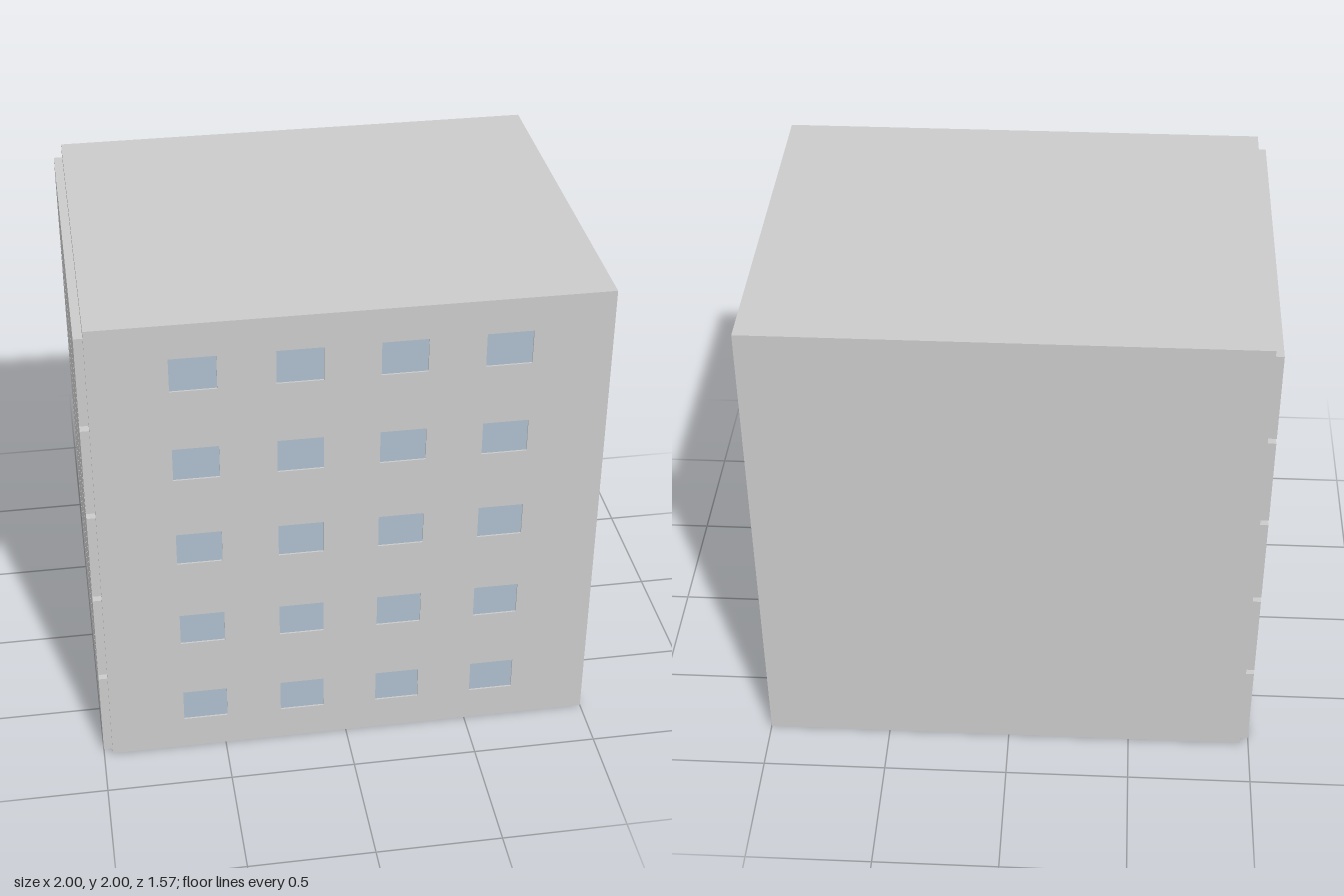
import * as THREE from 'three';

export function createModel() {
  const group = new THREE.Group();
  const concrete = new THREE.MeshStandardMaterial({ color: 0xcacaca });
  concrete.name = 'concrete grey';
  const glass = new THREE.MeshStandardMaterial({ color: 0xadbccb });
  glass.name = 'pale blue glass';

  // Box given by its minimum and maximum along each axis
  function box(name, material, [x0, x1], [y0, y1], [z0, z1]) {
    const mesh = new THREE.Mesh(new THREE.BoxGeometry(x1 - x0, y1 - y0, z1 - z0), material);
    mesh.position.set((x0 + x1) / 2, (y0 + y1) / 2, (z0 + z1) / 2);
    mesh.name = name;
    group.add(mesh);
  }

  const floors = 5, pitch = 0.395, roomHeight = 0.372;
  const top = 1.997, depth = 0.785, wall = 0.03, inner = depth - wall;
  const left = -0.965, right = 1, step = 0.035;
  const windowXs = [-0.578, -0.182, 0.21, 0.605];
  const windowW = 0.177, windowH = 0.14;

  // Front wall with a grid of window openings
  const facade = new THREE.Shape();
  facade.moveTo(left, 0).lineTo(right, 0).lineTo(right, top).lineTo(left, top).closePath();
  for (let f = 0; f < floors; f++) {
    const y = 0.215 + f * 0.3925;
    for (const x of windowXs) {
      const [a, b, c, d] = [x - windowW / 2, x + windowW / 2, y - windowH / 2, y + windowH / 2];
      const hole = new THREE.Path();
      hole.moveTo(a, c).lineTo(a, d).lineTo(b, d).lineTo(b, c).closePath();
      facade.holes.push(hole);
      // Pane set slightly back in its opening
      box('windowPane', glass, [a, b], [c, d], [depth - 0.015, depth - 0.007]);
    }
  }
  const front = new THREE.Mesh(
    new THREE.ExtrudeGeometry(facade, { depth: wall, bevelEnabled: false }), concrete);
  front.position.z = inner;
  front.name = 'frontWall';
  group.add(front);

  box('backWall', concrete, [left, right], [0, top], [-depth, -inner]);

  for (let f = 0; f < floors; f++) {
    const y0 = f * pitch, y1 = y0 + roomHeight;
    // Slab over each storey, the last being the roof
    box(f < floors - 1 ? 'floorSlab' : 'roof', concrete, [left, right],
      [y1, f < floors - 1 ? y0 + pitch : top], [-inner, inner]);
    // End panels: standing proud on one side, recessed on the other
    box('projectingEndPanel', concrete, [-1, left], [y0, y1], [-inner, inner]);
    box('recessedEndPanel', concrete, [right - 2 * step, right - step], [y0, y1], [-inner, inner]);
  }
  return group;
}
